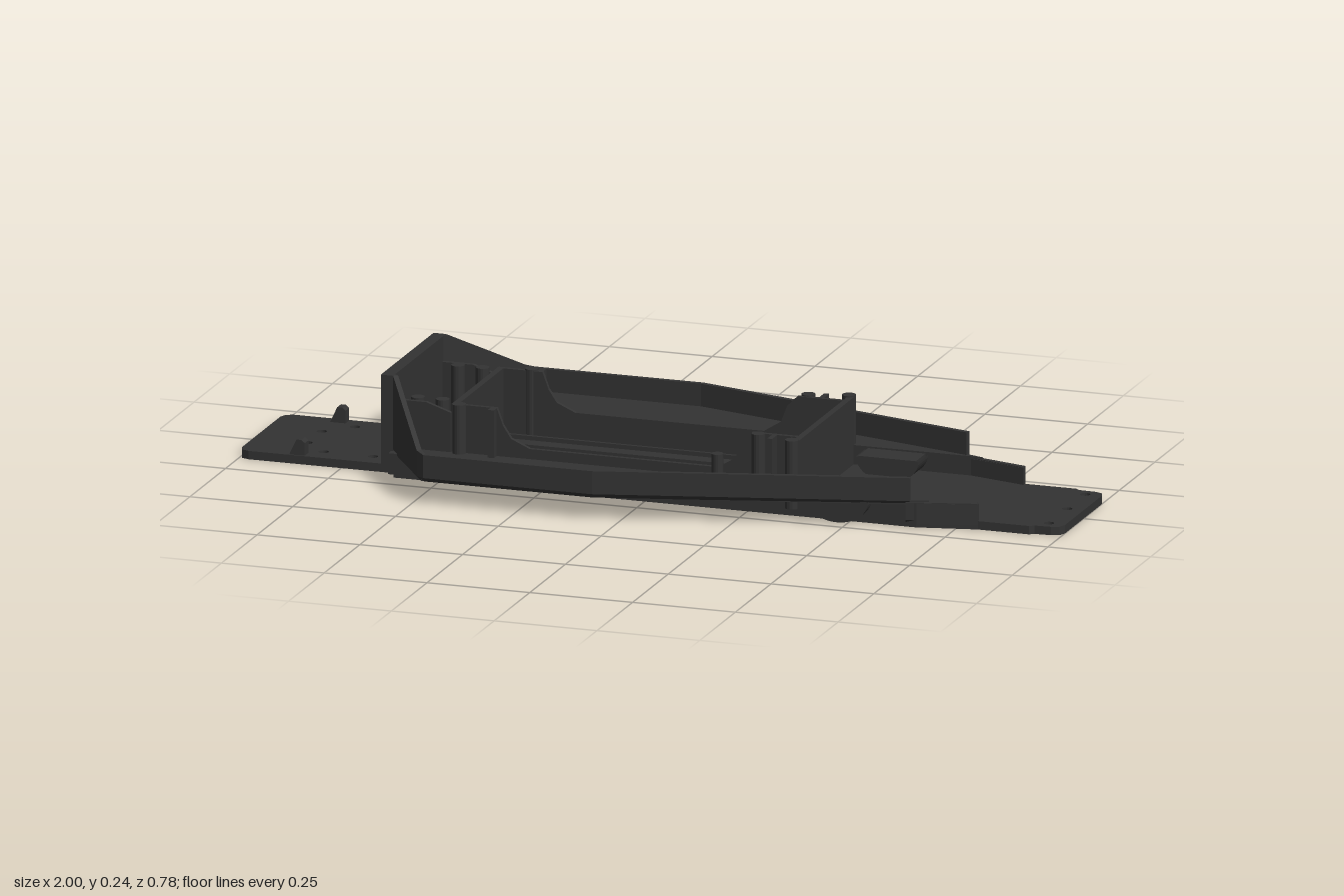
import * as THREE from 'three';

const mat = new THREE.MeshStandardMaterial({ color: 0x333333, flatShading: true, side: THREE.DoubleSide });

export function createModel() {
  const model = new THREE.Group();
  const add = (name, geo) => {
    const m = new THREE.Mesh(geo, mat);
    m.name = name;
    model.add(m);
    return m;
  };
  const box = (name, x0, x1, y0, y1, z0, z1) => add(name,
    new THREE.BoxGeometry(x1 - x0, y1 - y0, Math.abs(z1 - z0))
      .translate((x0 + x1) / 2, (y0 + y1) / 2, (z0 + z1) / 2));
  const post = (name, x, z, r, y0, y1) => add(name,
    new THREE.CylinderGeometry(r, r, y1 - y0, 16).translate(x, (y0 + y1) / 2, z));
  // Flat slab from an outline in x and z, with round holes [x, z, r]
  const slab = (name, pts, y0, y1, holes = []) => {
    const shape = new THREE.Shape(pts.map(p => new THREE.Vector2(p[0], p[1])));
    for (const [x, z, r] of holes) shape.holes.push(new THREE.Path().absarc(x, z, r, 0, Math.PI * 2, true));
    const geo = new THREE.ExtrudeGeometry(shape, { depth: y1 - y0, bevelEnabled: false, curveSegments: 8 });
    return add(name, geo.rotateX(Math.PI / 2).translate(0, y1, 0));
  };
  // Upright panel from an outline in x and y, with thickness along z
  const panel = (name, pts, z, t) => add(name,
    new THREE.ExtrudeGeometry(new THREE.Shape(pts.map(p => new THREE.Vector2(...p))),
      { depth: t, bevelEnabled: false }).translate(0, 0, z - t / 2));
  // Thin wall with a chamfered foot along a path of [x, z, bottom, top]
  const wall = (name, path, t, s) => {
    const pos = [], idx = [], n = 5;
    path.forEach(([x, z, b, top], i) => {
      const p = path[Math.max(i - 1, 0)], q = path[Math.min(i + 1, path.length - 1)];
      const dx = q[0] - p[0], dz = q[1] - p[1], l = Math.hypot(dx, dz);
      const nx = dz / l, nz = -dx / l;
      const put = (d, y) => pos.push(x + nx * d, y, s * (z + nz * d));
      put(0.008, b); put(0, b + 0.01); put(0, top); put(t, top); put(t, b);
      if (i) for (let k = 0; k < n; k++) {
        const a = (i - 1) * n + k, c = (i - 1) * n + (k + 1) % n;
        if (s > 0) idx.push(a, a + n, c, c, a + n, c + n);
        else idx.push(a, c, a + n, c, c + n, a + n);
      }
    });
    for (const o of [0, pos.length / 3 - n]) for (let k = 1; k < n - 1; k++) idx.push(o, o + k, o + k + 1);
    const g = new THREE.BufferGeometry();
    g.setAttribute('position', new THREE.Float32BufferAttribute(pos, 3));
    g.setIndex(idx);
    const flat = g.toNonIndexed();
    flat.computeVertexNormals();
    return add(name, flat);
  };

  // Base plate with screw holes at both ends
  const half = [[-1, 0.135], [-0.993, 0.153], [-0.975, 0.16], [-0.62, 0.16], [-0.61, 0.195], [0.66, 0.195],
    [0.8, 0.165], [0.925, 0.165], [0.935, 0.157], [0.975, 0.155], [0.993, 0.148], [1, 0.13]];
  const outline = [...half, ...half.map(([x, z]) => [x, -z]).reverse()];
  const holes = [[0.96, 0, 0.012]];
  for (const s of [1, -1]) for (const [x, z] of [[-0.87, 0.05], [-0.81, 0.11], [-0.69, 0.11], [0.96, 0.127]])
    holes.push([x, s * z, 0.012]);
  slab('basePlate', outline, 0, 0.02, holes);

  // Cross walls
  box('rearBulkhead', -0.645, -0.615, 0.02, 0.24, -0.185, 0.185);
  box('trayRearWall', -0.48, -0.465, 0.02, 0.18, -0.165, 0.165);
  box('trayFrontWall', 0.36, 0.375, 0.02, 0.18, -0.205, 0.205);

  // Ribs along the tray floor
  for (const z of [-0.14, -0.07, 0, 0.07, 0.14]) box('trayRib', -0.465, 0.36, 0.02, 0.03, z - 0.004, z + 0.004);

  for (const s of [1, -1]) {
    // Tub sides and side pod floor
    const side = pts => pts.map(([x, z]) => [x, s * z]);
    slab('tubSide', side([[-0.62, 0.16], [0.375, 0.16], [0.375, 0.19], [0.66, 0.19], [0.8, 0.155],
      [0.8, 0.168], [0.665, 0.205], [-0.62, 0.205]]), 0.01, 0.06);
    slab('podFloor', side([[-0.62, 0.16], [0.375, 0.16], [0.375, 0.19], [0.69, 0.19], [0.65, 0.203],
      [-0.062, 0.383], [-0.478, 0.383], [-0.615, 0.18]]), 0.055, 0.066);

    // Outer pod wall and its low front end
    wall('podWall', [[-0.64, 0.165, 0.055, 0.24], [-0.615, 0.185, 0.055, 0.24], [-0.49, 0.38, 0.055, 0.126],
      [-0.47, 0.392, 0.055, 0.12], [-0.06, 0.392, 0.055, 0.12], [0.65, 0.208, 0.055, 0.12]], 0.012, s);
    wall('noseWall', [[0.64, 0.21, 0.01, 0.062], [0.8, 0.168, 0.01, 0.062]], 0.012, s);

    // Tray side wall, tall at the ends and low in the middle
    panel('traySideWall', [[-0.48, 0.02], [0.375, 0.02], [0.375, 0.18], [0.25, 0.18], [0.225, 0.155], [0.21, 0.115],
      [0.17, 0.09], [-0.29, 0.09], [-0.335, 0.11], [-0.355, 0.14], [-0.37, 0.18], [-0.48, 0.18]], s * 0.16, 0.01);

    // Screw posts and braces around the tray
    for (const [x, z] of [[-0.57, 0.14], [-0.51, 0.14], [0.27, 0.175], [0.36, 0.2]])
      post('screwPost', x, s * z, 0.016, 0.02, 0.183);
    post('screwPost', s > 0 ? -0.46 : -0.4, s * 0.168, 0.016, 0.02, 0.183);
    box('trayBrace', -0.385, -0.37, 0.06, 0.18, s * 0.165, s * 0.185);
    box('trayBrace', 0.3, 0.312, 0.06, 0.18, s * 0.165, s * 0.2);
    panel('podGusset', [[-0.62, 0.06], [-0.48, 0.06], [-0.48, 0.16], [-0.54, 0.18], [-0.62, 0.18]], s * 0.165, 0.01);
    box('bulkheadRib', -0.655, -0.643, 0.02, 0.2, s * 0.075, s * 0.09);

    // Round-bottomed housing through the tub side
    const drum = new THREE.CylinderGeometry(0.076, 0.076, 0.11, 24, 1, false, -Math.PI / 2, Math.PI);
    drum.rotateX(Math.PI / 2).scale(1, 0.72, 1);
    // Keep only the lower half of the drum
    const p = drum.attributes.position;
    for (let i = 0; i < p.count; i++) p.setY(i, -Math.abs(p.getY(i)));
    add('roundHousing', drum.translate(0.48, 0.06, s * 0.177));
    box('housingTop', 0.41, 0.55, 0.045, 0.062, s * 0.122, s * 0.2);

    // Small lugs on the rear deck
    panel('rearLug', [[-0.88, 0.015], [-0.84, 0.015], [-0.84, 0.05], [-0.848, 0.057], [-0.86, 0.057]], s * 0.143, 0.026);
  }

  // Single post on the left pod floor
  post('podPost', 0.19, 0.232, 0.014, 0.06, 0.143);
  return model;
}
